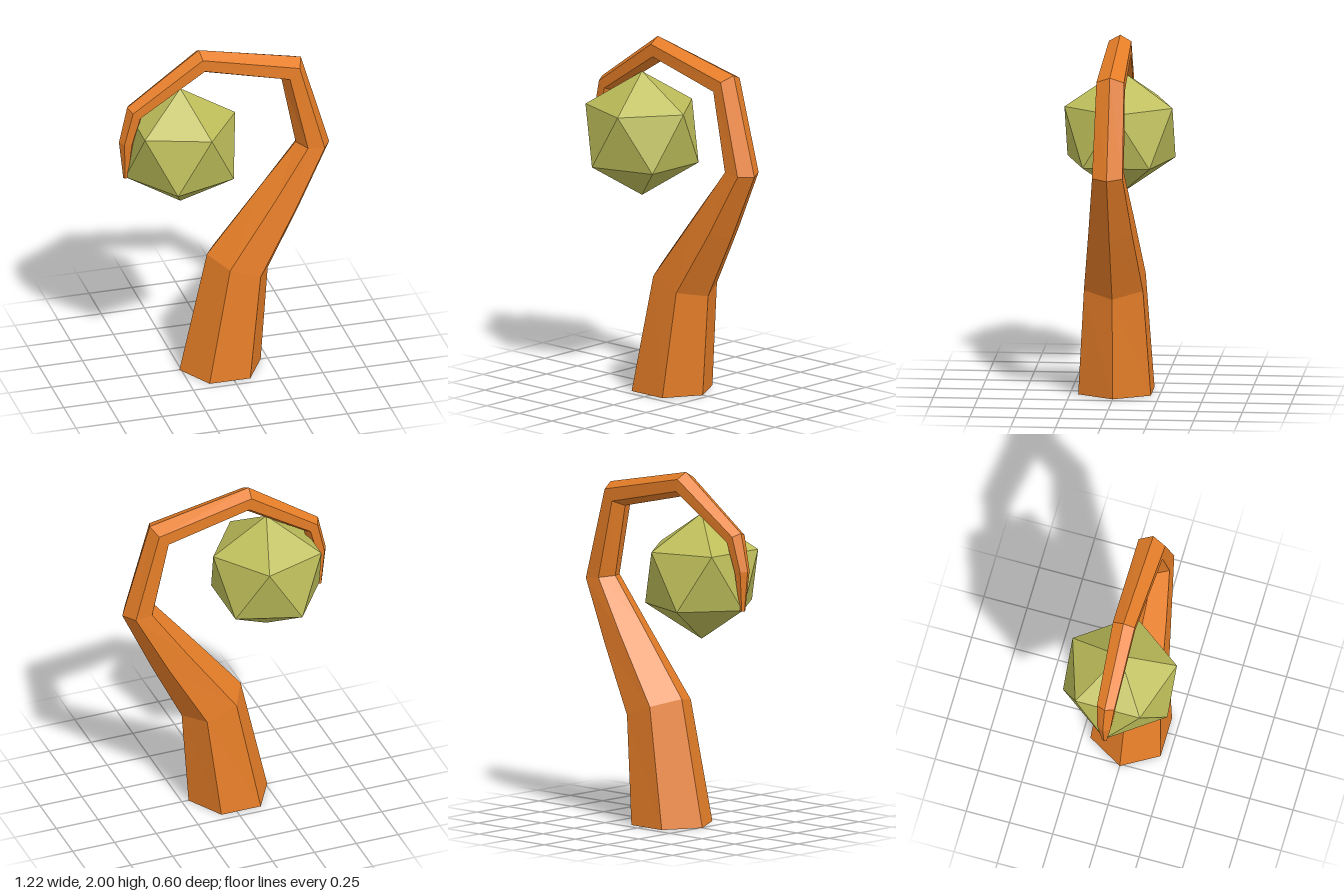
import * as THREE from 'three';
import { ConvexGeometry } from 'three/addons/geometries/ConvexGeometry.js';

const SIDES = 6;

// Hexagonal stem sections: centre x, y, z, outward in-plane half-width x, y, half-depth in z
const SECTIONS = [
  [-0.025, 0, 0, 0.235, 0, 0.203],
  [0.075, 0.642, 0, 0.176, -0.067, 0.165],
  [0.318, 1.015, 0, 0.111, -0.08, 0.122],
  [0.509, 1.333, 0, 0.097, -0.013, 0.085],
  [0.388, 1.814, -0.004, 0.056, 0.062, 0.077],
  [-0.132, 1.93, -0.011, -0.013, 0.07, 0.063],
  [-0.52, 1.667, -0.003, -0.042, 0.035, 0.05],
  [-0.567, 1.487, 0, -0.043, 0.003, 0.038],
  [-0.57, 1.265, 0, -0.015, -0.003, 0.014],
];

// Faceted tube lofted through the sections, capped at both ends
function loft(sections) {
  const pos = [], idx = [];
  for (const [x, y, z, ux, uy, depth] of sections) {
    for (let k = 0; k < SIDES; k++) {
      const a = (k / SIDES) * Math.PI * 2, c = Math.cos(a);
      // 60 degree steps reach only 0.866 of the radius in z
      pos.push(x + ux * c, y + uy * c, z + (depth / 0.866) * Math.sin(a));
    }
  }
  for (let r = 0; r < sections.length - 1; r++) {
    for (let k = 0; k < SIDES; k++) {
      const a = r * SIDES + k, b = r * SIDES + ((k + 1) % SIDES);
      idx.push(a, a + SIDES, b + SIDES, a, b + SIDES, b);
    }
  }
  const end = (sections.length - 1) * SIDES;
  for (let k = 1; k < SIDES - 1; k++) {
    idx.push(0, k, k + 1, end, end + k + 1, end + k);
  }
  const g = new THREE.BufferGeometry();
  g.setAttribute('position', new THREE.Float32BufferAttribute(pos, 3));
  g.setIndex(idx);
  const flat = g.toNonIndexed();
  flat.computeVertexNormals();
  return flat;
}

// Icosahedron standing on a point, with two staggered rings of five corners
function pointedIcosahedron(radius) {
  const points = [new THREE.Vector3(0, radius, 0), new THREE.Vector3(0, -radius, 0)];
  const h = radius / Math.sqrt(5);
  for (let k = 0; k < 5; k++) {
    const a = (k / 5) * Math.PI * 2;
    const x = 2 * h * Math.cos(a), z = 2 * h * Math.sin(a);
    points.push(new THREE.Vector3(x, h, z), new THREE.Vector3(-x, -h, -z));
  }
  return new ConvexGeometry(points);
}

function part(name, geometry, color) {
  const mesh = new THREE.Mesh(geometry, new THREE.MeshStandardMaterial({ color, flatShading: true }));
  mesh.name = name;
  return mesh;
}

export function createModel() {
  const group = new THREE.Group();
  group.name = 'curledStemWithOrb';

  // Curling stem, thick at the foot and tapering to a hooked tip
  group.add(part('stem', loft(SECTIONS), 0xe67e28));

  // Faceted orb held in the curl
  const orb = part('orb', pointedIcosahedron(0.355), 0xbdbd5a);
  orb.position.set(-0.255, 1.425, 0);
  group.add(orb);

  return group;
}
